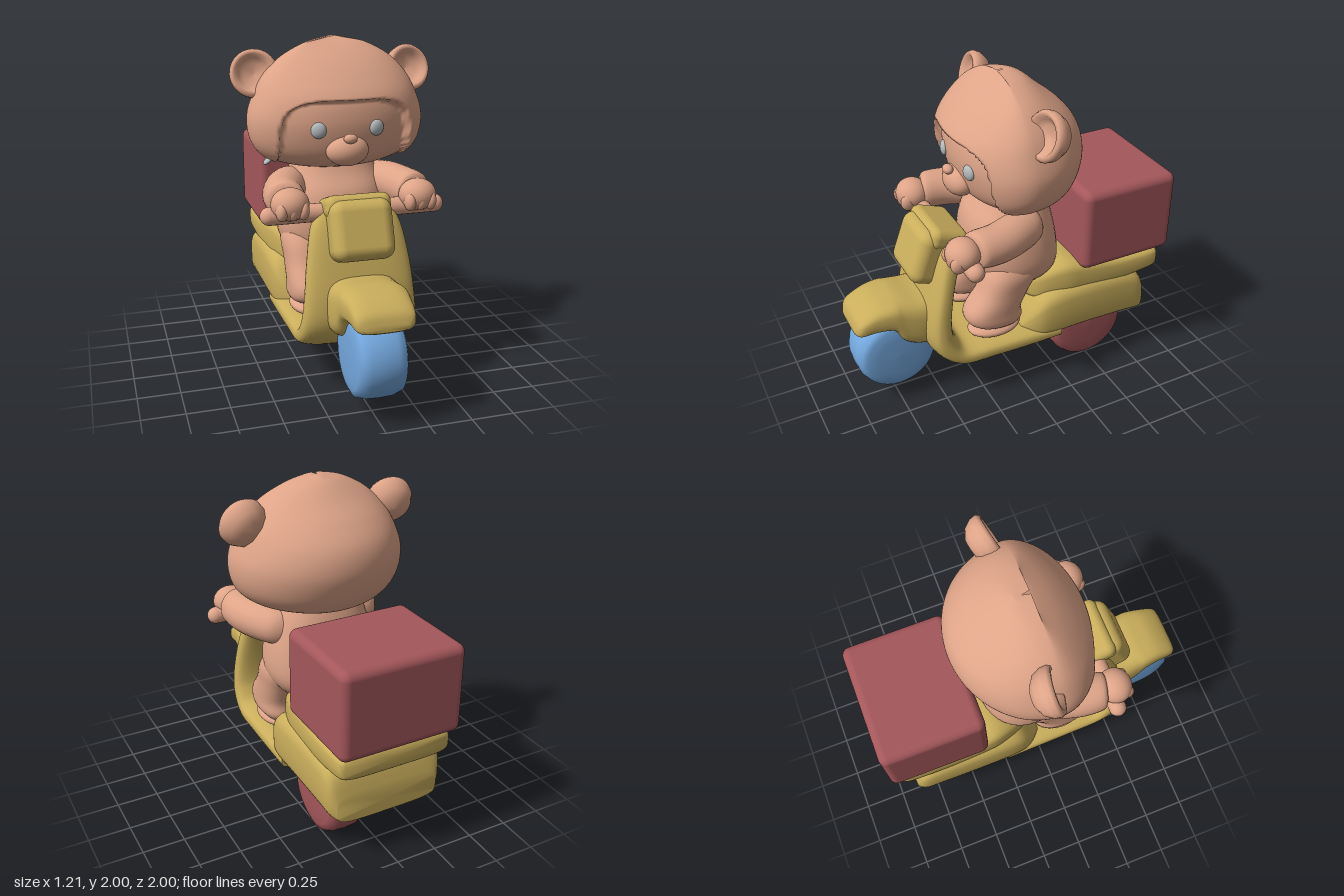
import * as THREE from 'three';
import { toCreasedNormals } from 'three/addons/utils/BufferGeometryUtils.js';
import { RoundedBoxGeometry } from 'three/addons/geometries/RoundedBoxGeometry.js';

const paint = (name, color) => Object.assign(new THREE.MeshStandardMaterial({ color }), { name });

// Catmull-Rom interpolation of every column of a small station table
function smooth(rows, steps) {
  const out = [], last = rows.length - 1;
  for (let s = 0; s <= steps; s++) {
    const u = (s / steps) * last, i = Math.min(Math.floor(u), last - 1), t = u - i;
    const [a, b, c, d] = [-1, 0, 1, 2].map(k => rows[Math.min(Math.max(i + k, 0), last)]);
    out.push(b.map((_, k) => 0.5 * (2 * b[k] + (c[k] - a[k]) * t
      + (2 * a[k] - 5 * b[k] + 4 * c[k] - d[k]) * t * t
      + (3 * b[k] - a[k] - 3 * c[k] + d[k]) * t * t * t)));
  }
  return out;
}

// Superellipse point at angle a; n = 2 is round, larger is boxier
function section(a, n) {
  const f = v => Math.sign(v) * Math.abs(v) ** (2 / n);
  return [f(Math.cos(a)), f(Math.sin(a))];
}

// Closed skin over cross-section rings, capped at both ends and facing outwards
function loft(stations, seg, place, crease = 0.9) {
  const pos = [], idx = [], rows = stations.length;
  stations.forEach((s, i) => {
    for (let j = 0; j < seg; j++) pos.push(...place(s, (j / seg) * Math.PI * 2, i));
  });
  for (const r of [0, rows - 1]) {
    const c = [0, 0, 0];
    for (let j = 0; j < seg; j++) for (let k = 0; k < 3; k++) c[k] += pos[(r * seg + j) * 3 + k] / seg;
    pos.push(...c);
  }
  for (let j = 0; j < seg; j++) {
    const k = (j + 1) % seg, e = (rows - 1) * seg;
    idx.push(rows * seg, k, j, rows * seg + 1, e + j, e + k);
    for (let i = 0; i < rows - 1; i++) {
      const a = i * seg + j, b = i * seg + k;
      idx.push(a, b, a + seg, b, b + seg, a + seg);
    }
  }
  const p = i => new THREE.Vector3().fromArray(pos, i * 3);
  let volume = 0;
  for (let i = 0; i < idx.length; i += 3) volume += p(idx[i]).dot(p(idx[i + 1]).cross(p(idx[i + 2])));
  if (volume < 0) idx.reverse();
  const g = new THREE.BufferGeometry();
  g.setAttribute('position', new THREE.Float32BufferAttribute(pos, 3));
  g.setIndex(idx);
  g.computeVertexNormals();
  return crease ? toCreasedNormals(g, crease) : g;
}

// Stations along z: [z, half width, bottom, top]
const alongZ = (rows, n) => loft(smooth(rows, 28), 40, ([z, w, lo, hi], a) => {
  const [c, s] = section(a, n);
  return [c * w, (lo + hi) / 2 + s * (hi - lo) / 2, z];
});
// Stations along y: [y, centre z, half width, half depth]
const alongY = (rows, n) => loft(smooth(rows, 24), 36, ([y, zc, w, d], a) => {
  const [c, s] = section(a, n);
  return [c * w, y, zc + s * d];
});

export function createModel() {
  const root = new THREE.Group();
  root.name = 'bearOnScooter';
  const fur = paint('warmTan', 0xdea488), yellow = paint('mustardYellow', 0xcaae5c);
  const red = paint('dustyRed', 0xa4575b), blue = paint('skyBlue', 0x74a8de);
  const grey = paint('paleGrey', 0xb4babc), purple = paint('purple', 0x5f42a8);

  const add = (name, geo, mat, p = [0, 0, 0], r = [0, 0, 0], parent = root) => {
    const m = new THREE.Mesh(geo, mat);
    m.name = name;
    m.position.set(...p);
    m.rotation.set(...r);
    parent.add(m);
    return m;
  };
  const ball = (name, mat, p, size, r, parent) =>
    add(name, new THREE.SphereGeometry(1, 28, 20), mat, p, r, parent).scale.set(...size);

  // Wheels: rounded lathe discs turned onto the x axis
  const wheel = (name, mat, p, r, w) => {
    const pts = [[0, -w], [r * 0.5, -w * 0.98], [r * 0.78, -w * 0.93], [r * 0.92, -w * 0.82], [r * 0.985, -w * 0.5]];
    const profile = [...pts, [r, 0], ...pts.map(([a, b]) => [a, -b]).reverse()];
    add(name, new THREE.LatheGeometry(profile.map(q => new THREE.Vector2(...q)), 48), mat, p, [0, 0, Math.PI / 2]);
  };
  wheel('frontWheel', blue, [0, 0.36, 0.75], 0.25, 0.15);
  wheel('rearWheel', red, [0.165, 0.255, -0.495], 0.255, 0.125);

  // Leg shield sweeping down into the floor: [z, y, half width, half thickness]
  const path = smooth([[0.38, 1.15, 0.15, 0.04], [0.42, 1.02, 0.25, 0.07], [0.48, 0.82, 0.295, 0.07],
    [0.52, 0.6, 0.32, 0.08], [0.505, 0.45, 0.335, 0.085], [0.4, 0.345, 0.345, 0.07],
    [0.2, 0.335, 0.35, 0.07], [-0.05, 0.333, 0.355, 0.07], [-0.25, 0.335, 0.36, 0.06]], 48);
  add('legShieldAndFloor', loft(path, 40, ([z, y, w, t], a, i) => {
    const q = path[Math.min(i + 1, 48)], o = path[Math.max(i - 1, 0)];
    const dz = q[0] - o[0], dy = q[1] - o[1], l = Math.hypot(dz, dy), [c, s] = section(a, 3.2);
    return [c * w, y + s * t * dz / l, z - s * t * dy / l];
  }), yellow);

  add('frontFender', alongZ([[1, 0.12, 0.585, 0.62], [0.97, 0.165, 0.57, 0.685], [0.87, 0.18, 0.57, 0.74],
    [0.77, 0.195, 0.55, 0.755], [0.71, 0.2, 0.45, 0.755], [0.61, 0.21, 0.4, 0.74], [0.48, 0.21, 0.4, 0.74]], 3.4), yellow);
  add('rearBody', alongZ([[-0.01, 0.26, 0.35, 0.41], [-0.08, 0.33, 0.3, 0.55], [-0.18, 0.365, 0.29, 0.65],
    [-0.4, 0.375, 0.3, 0.68], [-0.7, 0.37, 0.29, 0.66], [-0.82, 0.36, 0.28, 0.6], [-0.87, 0.32, 0.28, 0.44]], 4.5), yellow);
  add('seat', alongZ([[-0.06, 0.18, 0.58, 0.66], [-0.13, 0.27, 0.55, 0.75], [-0.28, 0.33, 0.55, 0.815],
    [-0.42, 0.345, 0.55, 0.8], [-0.65, 0.35, 0.57, 0.765], [-0.9, 0.35, 0.6, 0.76], [-0.945, 0.32, 0.62, 0.74]], 5), yellow);
  add('headlight', new RoundedBoxGeometry(0.36, 0.34, 0.2, 5, 0.07), yellow, [0, 0.99, 0.52], [-0.35, 0, 0]);
  add('dashboard', new RoundedBoxGeometry(0.38, 0.13, 0.24, 5, 0.05), yellow, [0, 1.095, 0.41], [-0.35, 0, 0]);
  add('cargoBox', new RoundedBoxGeometry(0.75, 0.53, 0.63, 5, 0.05), red, [0, 1.025, -0.685]);

  // Exhaust under the right side
  add('exhaustPipe', new RoundedBoxGeometry(0.13, 0.05, 0.22, 2, 0.012), purple, [-0.2, 0.245, -0.57]);
  add('exhaustMount', new THREE.CylinderGeometry(0.03, 0.03, 0.1, 12), purple, [-0.18, 0.28, -0.52]);

  // Handlebar with rounded ends
  add('handlebar', new THREE.CapsuleGeometry(0.052, 0.97, 8, 20), fur, [0, 1.073, 0.395], [0, 0, Math.PI / 2]);

  // Bear body
  add('torso', alongY([[0.7, -0.06, 0.24, 0.18], [0.78, -0.05, 0.31, 0.26], [0.87, -0.04, 0.34, 0.28],
    [1, -0.03, 0.33, 0.275], [1.12, -0.03, 0.3, 0.25], [1.23, -0.05, 0.26, 0.2], [1.36, -0.05, 0.2, 0.15]], 2.3), fur);

  for (const side of [1, -1]) {
    const label = side > 0 ? 'left' : 'right';
    // Arm as a tapered sleeve from shoulder to wrist: [x, y, z, radius]
    add(label + 'Arm', loft(smooth([[0.2, 1.12, -0.12, 0.05], [0.25, 1.13, -0.07, 0.1], [0.31, 1.135, 0.06, 0.118],
      [0.36, 1.135, 0.2, 0.115], [0.375, 1.14, 0.33, 0.11], [0.375, 1.14, 0.36, 0.085]], 20), 28,
      ([x, y, z, r], a) => [side * (x + r * Math.cos(a)), y + r * Math.sin(a), z - 0.25 * r * Math.cos(a)]), fur);
    ball(label + 'Hand', fur, [side * 0.372, 1.14, 0.42], [0.108, 0.092, 0.1]);
    for (let k = 0; k < 3; k++) ball(label + 'Finger', fur, [side * (0.31 + 0.06 * k), 1.115, 0.47], [0.034, 0.055, 0.048]);

    // Leg and foot
    add(label + 'Leg', alongY([[0.45, 0.1, 0.08, 0.1], [0.5, 0.145, 0.125, 0.17], [0.58, 0.16, 0.13, 0.18],
      [0.7, 0.09, 0.13, 0.165], [0.82, 0.03, 0.135, 0.17], [0.92, 0, 0.1, 0.13]], 2.4), fur, [side * 0.2, 0, 0]);
    ball(label + 'Foot', fur, [side * 0.2, 0.435, 0.15], [0.115, 0.05, 0.17]);

    // Dished ear
    const dish = [[0, -0.11], [0.06, -0.102], [0.11, -0.07], [0.137, -0.02], [0.14, 0.015], [0.128, 0.035],
      [0.108, 0.035], [0.09, 0.01], [0.06, -0.015], [0, -0.025]];
    const ear = new THREE.LatheGeometry(dish.map(q => new THREE.Vector2(...q)), 36);
    add(label + 'Ear', ear, fur, [side * 0.465, 1.795, -0.035], [Math.PI / 2 - 0.3, 0, -side * 0.15]);

    ball(label + 'Eye', grey, [side * 0.17, 1.51, 0.282], [0.044, 0.046, 0.024], [0, side * 0.25, 0]);
  }

  // Head in a helmet; the face opening is set back behind the rim: [y, half width, back z, front z]
  const head = smooth([[1.25, 0.2, -0.2, 0.16], [1.28, 0.33, -0.3, 0.25], [1.33, 0.44, -0.37, 0.31],
    [1.42, 0.505, -0.42, 0.345], [1.55, 0.52, -0.45, 0.36], [1.68, 0.48, -0.425, 0.335], [1.79, 0.42, -0.34, 0.255],
    [1.89, 0.32, -0.22, 0.155], [1.965, 0.18, -0.13, 0.05], [1.995, 0.06, -0.07, -0.02], [2, 0.01, -0.05, -0.04]], 110);
  add('helmetAndFace', loft(head, 128, ([y, w, back, front], a) => {
    const zc = Math.min(0.03, (back + front) / 2 + 0.075), x = w * Math.cos(a), s = Math.sin(a);
    let z = zc + s * (s > 0 ? front - zc : zc - back);
    const d = (Math.abs(x) / 0.385) ** 4 + (Math.max(y - 1.38, 0) / 0.3) ** 4;
    if (s > 0) z -= 0.06 * (1 - THREE.MathUtils.smoothstep(d, 0.78, 1));
    return [x, y, z];
  }, 0), fur);
  ball('muzzle', fur, [0, 1.385, 0.27], [0.125, 0.09, 0.088]);
  ball('nose', fur, [0, 1.465, 0.335], [0.04, 0.028, 0.03]);
  ball('strapBuckle', grey, [-0.42, 1.31, 0.08], [0.032, 0.014, 0.03], [0, 0, 0.7]);

  return root;
}
